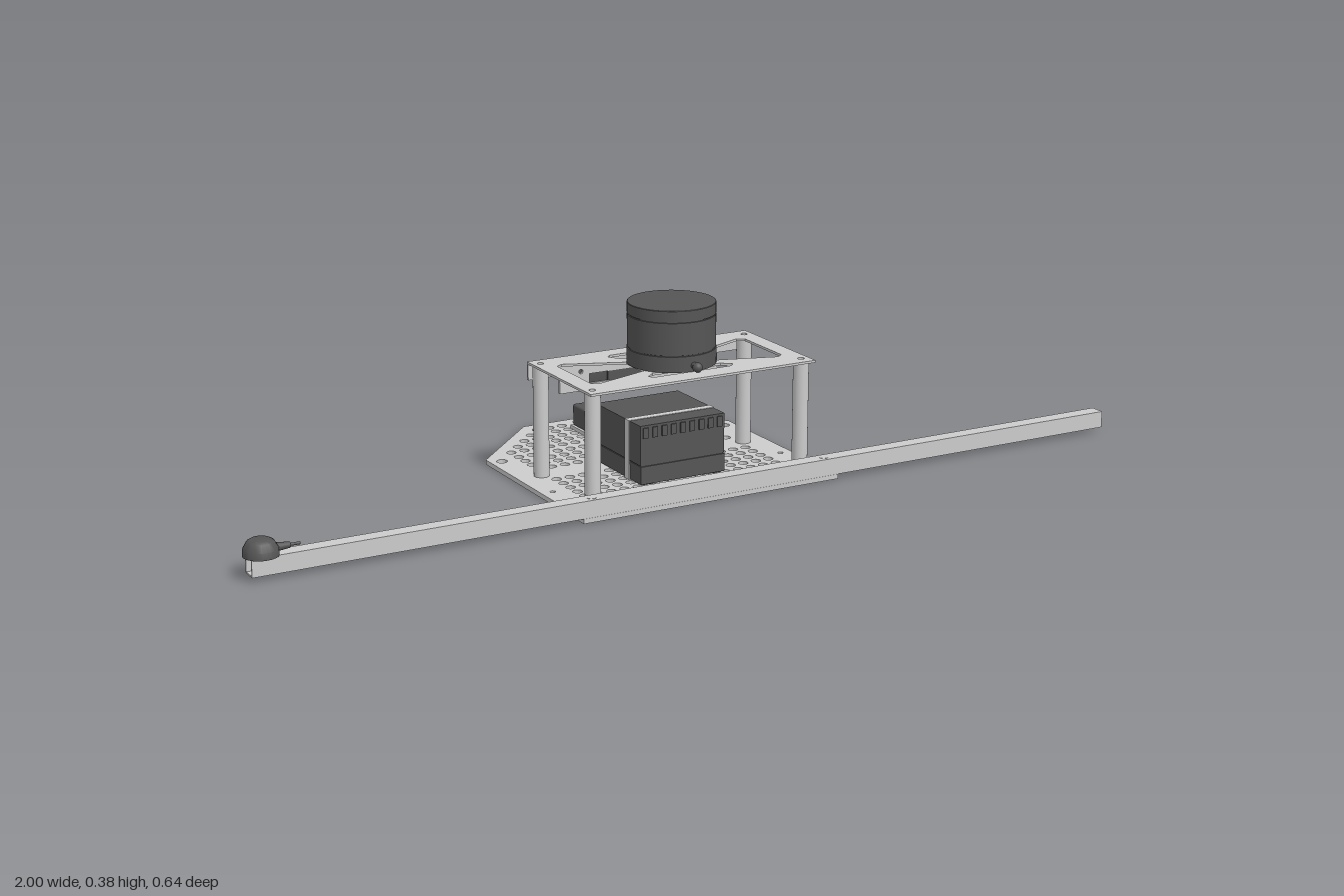
import * as THREE from 'three';
import { toCreasedNormals } from 'three/addons/utils/BufferGeometryUtils.js';
import { RoundedBoxGeometry } from 'three/addons/geometries/RoundedBoxGeometry.js';

export function createModel() {
  const model = new THREE.Group();
  const grey = new THREE.MeshStandardMaterial({ color: 0xcccccc });
  const dark = new THREE.MeshStandardMaterial({ color: 0x555555 });

  const group = (name, parent) => {
    const g = new THREE.Group();
    g.name = name;
    parent.add(g);
    return g;
  };
  // The end sensor overhangs one side, so the rig's own centre sits slightly to the left
  const rig = group('sensorRig', model);
  rig.position.x = 0.005;

  const add = (name, geo, mat, x = 0, y = 0, z = 0, parent = rig) => {
    const mesh = new THREE.Mesh(geo, mat);
    mesh.name = name;
    mesh.position.set(x, y, z);
    parent.add(mesh);
  };
  const box = (w, h, d) => new THREE.BoxGeometry(w, h, d);
  const polygon = (pts, Type = THREE.Shape) => new Type(pts.map(p => new THREE.Vector2(...p)));
  const rect = (x0, y0, x1, y1, Type) => polygon([[x0, y0], [x1, y0], [x1, y1], [x0, y1]], Type);
  const roundHole = (x, y, r) => new THREE.Path().absarc(x, y, r, 0, Math.PI * 2, true);
  const extrude = (shape, depth) =>
    new THREE.ExtrudeGeometry(shape, { depth, bevelEnabled: false, curveSegments: 6 });
  // Horizontal sheet drawn in (x, z); its top lies at local y = 0
  const sheet = (shape, t) => extrude(shape, t).rotateX(Math.PI / 2);
  const lathe = (pts, seg = 40) =>
    toCreasedNormals(new THREE.LatheGeometry(pts.map(p => new THREE.Vector2(...p)), seg), 0.6);
  const rodZ = (r, len, seg = 16) => new THREE.CylinderGeometry(r, r, len, seg).rotateX(Math.PI / 2);

  // Perforated base plate with chamfered rear corners
  const base = polygon([[-0.3, -0.14], [-0.12, -0.32], [0.12, -0.32], [0.3, -0.14], [0.3, 0.305], [-0.3, 0.305]]);
  const pitch = 0.031;
  const patches = [[-0.285, -0.15], [-0.125, -0.02], [0.05, 0.23]];
  for (const [z0, z1] of patches) {
    for (let z = z0; z <= z1; z += pitch) {
      for (let i = 1; i <= 7; i++) {
        const x = i * pitch + 0.012;
        if (x - z > 0.395) continue;
        base.holes.push(roundHole(x, z, 0.0105), roundHole(-x, z, 0.0105));
      }
    }
  }
  base.holes.push(roundHole(0, -0.295, 0.01));
  for (const s of [-1, 1]) {
    base.holes.push(roundHole(s * 0.274, -0.115, 0.012), roundHole(s * 0.274, 0.12, 0.006));
  }
  add('basePlate', sheet(base, 0.01), grey, 0, 0.01, 0);

  // Long hollow square cross bar with its bolts
  const tube = rect(-0.0165, 0, 0.0165, 0.036);
  tube.holes.push(rect(-0.0135, 0.003, 0.0135, 0.033, THREE.Path));
  add('crossBar', extrude(tube, 1.99).rotateY(Math.PI / 2), grey, -0.995, 0.01, 0.288);
  for (const s of [-1, 1])
    add('barBolt', new THREE.CylinderGeometry(0.01, 0.01, 0.001, 16), grey, s * 0.274, 0.0463, 0.288);

  // Domed puck on the end of the bar with its cable
  const puck = group('endSensor', rig);
  puck.position.set(-0.97, 0.046, 0.288);
  add('sensorDome', lathe([[0, 0], [0.035, 0], [0.034, 0.014], [0.026, 0.028], [0.019, 0.032], [0, 0.032]], 24),
    dark, 0, 0, 0, puck);
  add('sensorCableBoot', new THREE.CylinderGeometry(0.006, 0.009, 0.03, 12).rotateZ(-Math.PI / 2), dark, 0.043, 0.011, 0, puck);
  add('sensorCable', new THREE.CylinderGeometry(0.003, 0.003, 0.025, 8).rotateZ(-Math.PI / 2), dark, 0.066, 0.011, 0, puck);

  // Upper plate with four cutouts, standing on four posts
  const upper = rect(-0.263, -0.013, 0.263, 0.267);
  for (const x of [-0.245, 0.245]) {
    for (const z of [0.013, 0.24]) {
      add('post', new THREE.CylinderGeometry(0.0165, 0.0165, 0.237, 24), grey, x, 0.1285, z);
      upper.holes.push(roundHole(x, z, 0.007));
    }
  }
  for (const s of [-1, 1]) {
    upper.holes.push(polygon([[s * 0.225, 0.05], [s * 0.21, 0.04], [s * 0.085, 0.09],
      [s * 0.085, 0.165], [s * 0.21, 0.205], [s * 0.225, 0.195]], THREE.Path));
  }
  upper.holes.push(polygon([[-0.09, 0.026], [0.09, 0.026], [0.1, 0.036], [0.08, 0.062], [-0.08, 0.062], [-0.1, 0.036]], THREE.Path));
  upper.holes.push(polygon([[-0.09, 0.218], [0.09, 0.218], [0.1, 0.208], [0.08, 0.19], [-0.08, 0.19], [-0.1, 0.208]], THREE.Path));
  add('upperPlate', sheet(upper, 0.005), grey, 0, 0.252, 0);

  // Folded rear flange with a window
  const flange = polygon([[-0.263, 0.25], [-0.263, 0.213], [-0.19, 0.213], [-0.19, 0.173],
    [0.19, 0.173], [0.19, 0.213], [0.263, 0.213], [0.263, 0.25]]);
  flange.holes.push(rect(-0.12, 0.187, 0.12, 0.208, THREE.Path));
  for (const s of [-1, 1]) flange.holes.push(roundHole(s * 0.14, 0.215, 0.005), roundHole(s * 0.14, 0.19, 0.005));
  add('rearFlange', extrude(flange, 0.005), grey, 0, 0, -0.013);

  // Wide camera with rounded ends, facing the rear
  const camera = group('rearCamera', rig);
  const stadium = new THREE.Shape();
  stadium.absarc(0.133, 0, 0.023, -Math.PI / 2, Math.PI / 2, false);
  stadium.absarc(-0.133, 0, 0.023, Math.PI / 2, Math.PI * 1.5, false);
  const body = new THREE.ExtrudeGeometry(stadium, {
    depth: 0.056, bevelThickness: 0.005, bevelSize: 0.004, bevelSegments: 3, curveSegments: 12,
  });
  add('cameraBody', toCreasedNormals(body, 0.7), dark, 0, 0.202, -0.075, camera);
  add('cameraMount', box(0.15, 0.03, 0.008), dark, 0, 0.2, -0.013, camera);
  for (const x of [-0.1, -0.03, 0.04, 0.1]) add('cameraLens', rodZ(0.012, 0.002), dark, x, 0.202, -0.08, camera);

  // Round scanner with grooves and a cable plug at the front
  const scanner = group('scanner', rig);
  scanner.position.set(0, 0.252, 0.127);
  add('scannerBody', lathe([[0, 0], [0.093, 0], [0.093, 0.033], [0.091, 0.0335], [0.091, 0.035], [0.092, 0.0355],
    [0.092, 0.103], [0.09, 0.1035], [0.09, 0.105], [0.092, 0.1055], [0.092, 0.128], [0.091, 0.129], [0, 0.129]], 48),
    dark, 0, 0, 0, scanner);
  add('scannerPlug', rodZ(0.007, 0.026), dark, 0, 0.013, 0.1, scanner);
  add('scannerPlugCap', new THREE.SphereGeometry(0.0105, 16, 12), dark, 0, 0.012, 0.107, scanner);

  // Computer box: tray, housing, strap, feet and front vent ribs
  const computer = group('computer', rig);
  add('computerTray', box(0.2, 0.038, 0.197), dark, 0, 0.032, 0.0795, computer);
  add('computerSeam', box(0.196, 0.004, 0.193), dark, 0, 0.052, 0.0785, computer);
  add('computerHousing', box(0.2, 0.085, 0.194), dark, 0, 0.0955, 0.078, computer);
  const strap = rect(-0.102, 0.011, 0.102, 0.139);
  strap.holes.push(rect(-0.1, 0.013, 0.1, 0.138, THREE.Path));
  add('strap', extrude(strap, 0.018), grey, 0, 0, 0.112, computer);
  for (const x of [-0.08, 0.08])
    for (const z of [0.0, 0.16]) add('computerFoot', box(0.024, 0.004, 0.024), dark, x, 0.012, z, computer);
  for (let i = -4; i <= 4; i++) add('ventRib', box(0.012, 0.022, 0.004), dark, i * 0.022, 0.122, 0.176, computer);

  // Small sensor block at the rear with two pairs of connectors
  const unit = group('rearSensor', rig);
  add('rearSensorBase', box(0.07, 0.008, 0.08), grey, 0, 0.014, -0.22, unit);
  add('rearSensorBody', new RoundedBoxGeometry(0.064, 0.049, 0.065, 3, 0.005), dark, 0, 0.0425, -0.2225, unit);
  for (const y of [0.033, 0.053]) {
    for (const x of [-0.015, 0.015]) {
      add('connector', rodZ(0.005, 0.016, 12), dark, x, y, -0.184, unit);
      add('connectorCollar', rodZ(0.0075, 0.006, 12), dark, x, y, -0.18, unit);
    }
  }
  return model;
}
